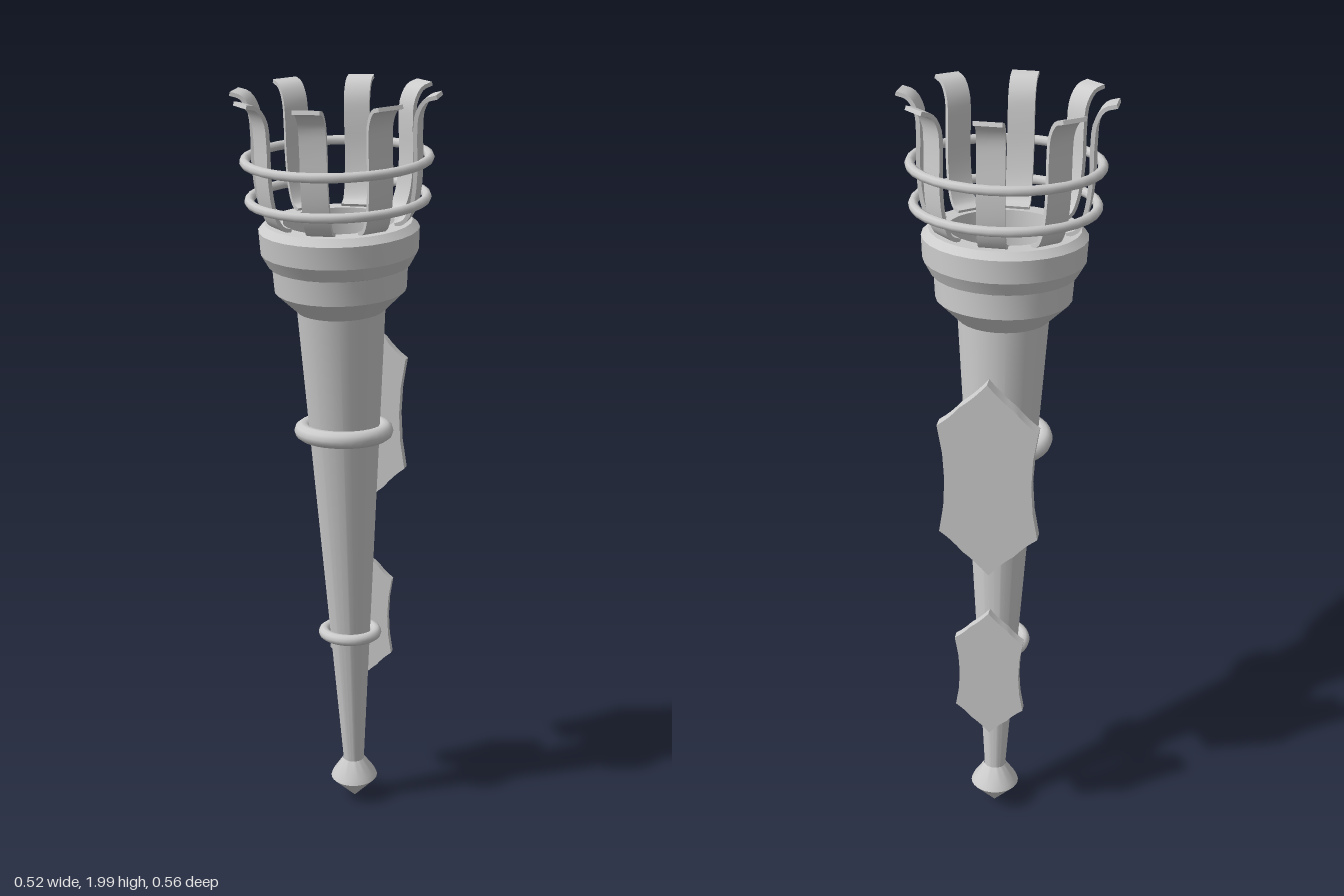
import * as THREE from 'three';
import { toCreasedNormals } from 'three/addons/utils/BufferGeometryUtils.js';

const material = new THREE.MeshStandardMaterial({ color: 0xcccccc });

function add(parent, name, geometry, x = 0, y = 0, z = 0) {
  const mesh = new THREE.Mesh(geometry, material);
  mesh.name = name;
  mesh.position.set(x, y, z);
  parent.add(mesh);
  return mesh;
}

function lathe(points) {
  const profile = points.map(([r, y]) => new THREE.Vector2(r, y));
  return toCreasedNormals(new THREE.LatheGeometry(profile, 28), 0.4);
}

function flatRing(radius, tube, sides = 10) {
  return new THREE.TorusGeometry(radius, tube, sides, 32).rotateX(Math.PI / 2);
}

// Curled metal strap: a thin side profile extruded across its width
function strapGeometry() {
  const curve = new THREE.CatmullRomCurve3([
    [0.15, 1.657], [0.174, 1.667], [0.193, 1.71], [0.203, 1.79],
    [0.203, 1.87], [0.208, 1.925], [0.228, 1.957], [0.256, 1.966],
  ].map(([r, y]) => new THREE.Vector3(r, y, 0)));
  const inner = [], outer = [];
  const steps = 20, half = 0.005, width = 0.066;
  for (let i = 0; i <= steps; i++) {
    const p = curve.getPoint(i / steps);
    const t = curve.getTangent(i / steps);
    outer.push(new THREE.Vector2(p.x + t.y * half, p.y - t.x * half));
    inner.unshift(new THREE.Vector2(p.x - t.y * half, p.y + t.x * half));
  }
  const geometry = new THREE.ExtrudeGeometry(new THREE.Shape([...outer, ...inner]), {
    depth: width, bevelEnabled: false,
  });
  return toCreasedNormals(geometry.translate(0, 0, -width / 2), 0.6);
}

// Wall plaque with eight points joined by hollow curves
function plaqueGeometry() {
  const corners = [
    [0, 0.27], [0.065, 0.205], [0.122, 0.15], [0.122, -0.15],
    [0.065, -0.205], [0, -0.27], [-0.065, -0.205], [-0.122, -0.15],
    [-0.122, 0.15], [-0.065, 0.205],
  ];
  const shape = new THREE.Shape();
  shape.moveTo(...corners[0]);
  corners.forEach(([x, y], i) => {
    const [nx, ny] = corners[(i + 1) % corners.length];
    const pull = x === nx ? 0.74 : 0.97;
    shape.quadraticCurveTo(((x + nx) / 2) * pull, ((y + ny) / 2) * pull, nx, ny);
  });
  const geometry = new THREE.ExtrudeGeometry(shape, {
    depth: 0.03, bevelEnabled: false, curveSegments: 4,
  });
  return toCreasedNormals(geometry, 0.4);
}

// Collar around the shaft, with arm and plaque behind it
function wallBracket(name, y, z, radius, tube, scale) {
  const bracket = new THREE.Group();
  bracket.name = name;
  add(bracket, 'collar', flatRing(radius, tube), 0, y, z);
  const start = z - radius, end = -0.26;
  const arm = new THREE.CylinderGeometry(0.022 * scale, 0.013 * scale, start - end, 12);
  add(bracket, 'arm', arm.rotateX(Math.PI / 2), 0, y, (start + end) / 2);
  const plaque = add(bracket, 'plaque', plaqueGeometry(), -0.005, y, -0.282);
  plaque.scale.set(scale, scale, scale);
  return bracket;
}

export function createModel() {
  const model = new THREE.Group();
  model.name = 'wallTorch';

  // Everything on the leaning axis
  const torch = new THREE.Group();
  torch.name = 'torch';
  torch.position.set(0, 0.008, -0.184);
  torch.rotation.x = 0.107;
  model.add(torch);

  add(torch, 'pointedFoot', lathe([[0, 0], [0.064, 0.068], [0.058, 0.082], [0.029, 0.125]]));
  add(torch, 'shaft', lathe([[0.028, 0.12], [0.112, 1.435]]));
  add(torch, 'bowl', lathe([
    [0, 1.43], [0.112, 1.43], [0.166, 1.483], [0.17, 1.545], [0.178, 1.548],
    [0.197, 1.582], [0.2, 1.638], [0.183, 1.655], [0.138, 1.655], [0.138, 1.55], [0, 1.55],
  ]));

  // Cage: two hoops and eight curled straps
  add(torch, 'lowerHoop', flatRing(0.218, 0.012, 8), 0, 1.713);
  add(torch, 'upperHoop', flatRing(0.226, 0.012, 8), 0, 1.81);
  const strap = strapGeometry();
  for (let i = 0; i < 8; i++) {
    add(torch, 'cageStrap', strap).rotation.y = (i * Math.PI) / 4;
  }

  model.add(wallBracket('upperBracket', 1.107, -0.06, 0.106, 0.022, 1));
  model.add(wallBracket('lowerBracket', 0.525, -0.127, 0.07, 0.015, 0.72));
  return model;
}
